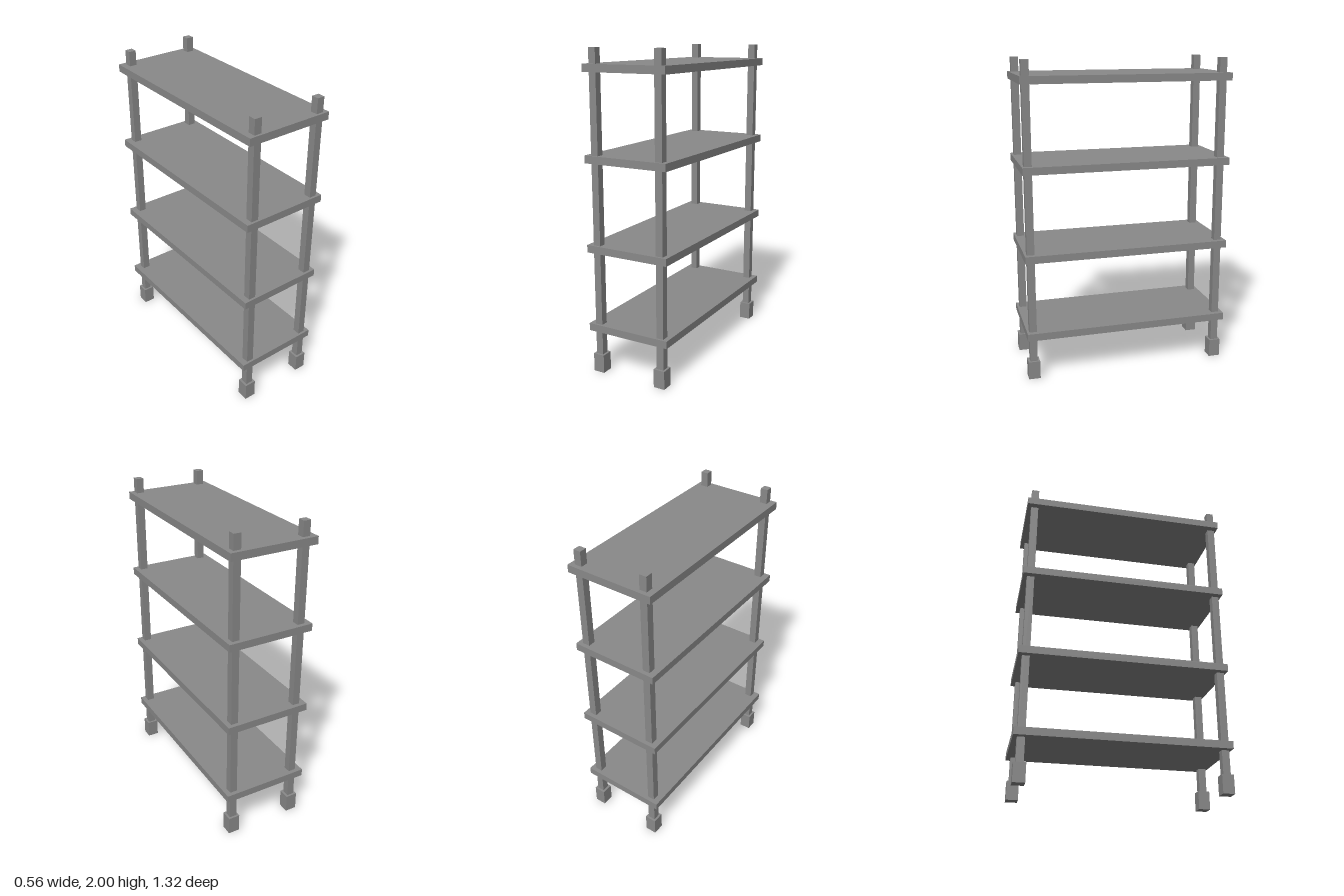
import * as THREE from 'three';

export function createModel() {
  const group = new THREE.Group();
  const material = new THREE.MeshStandardMaterial({ color: 0x8a8a8a });

  const addBox = (name, w, h, d, x, y, z) => {
    const mesh = new THREE.Mesh(new THREE.BoxGeometry(w, h, d), material);
    mesh.name = name;
    mesh.position.set(x, y, z);
    group.add(mesh);
  };

  // Four flat shelves
  [0.292, 0.801, 1.352, 1.884].forEach((y, i) => {
    addBox(`shelf${i + 1}`, 0.558, 0.047, 1.322, 0, y, 0);
  });

  // Corner posts, each standing on a thicker foot block
  const footHeight = 0.117;
  const postHeight = 2 - footHeight;
  for (const [side, x] of [['Right', -0.216], ['Left', 0.224]]) {
    for (const [end, z] of [['front', 0.623], ['back', -0.612]]) {
      addBox(`${end}${side}Post`, 0.047, postHeight, 0.047, x, footHeight + postHeight / 2, z);
      addBox(`${end}${side}Foot`, 0.074, footHeight, 0.074, x, footHeight / 2, z);
    }
  }

  return group;
}
